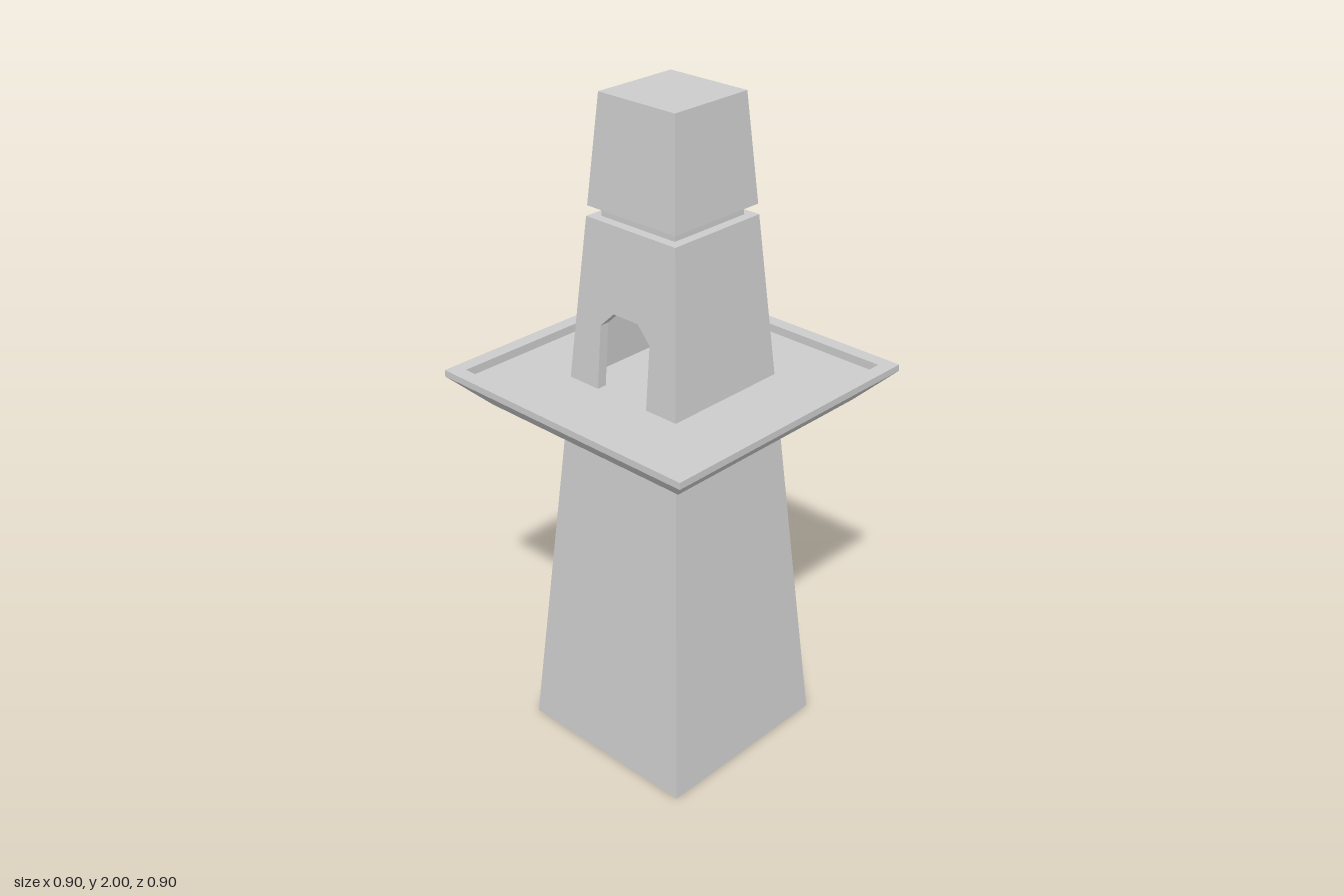
import * as THREE from 'three';

const material = new THREE.MeshStandardMaterial({ color: 0xcccccc, flatShading: true, side: THREE.DoubleSide });

// Half width of the tapering tower at height y
const halfAt = (y) => 0.3 - 0.082 * y;

const FLOOR = 1.18;
const DECK = 1.66;
const WALL = 0.03;

function addMesh(group, name, geometry) {
  const mesh = new THREE.Mesh(geometry, material);
  mesh.name = name;
  group.add(mesh);
}

// Square solid swept from [half width, height] points; sides are counted from the +x face round
function squareLathe(profile, sides = 4) {
  const points = profile.map(([half, y]) => new THREE.Vector2(half * Math.SQRT2, y));
  const lathe = new THREE.LatheGeometry(points, sides, Math.PI / 4, (sides * Math.PI) / 2);
  const geometry = lathe.toNonIndexed();
  geometry.computeVertexNormals();
  return geometry;
}

// Leaning front wall with a chamfered doorway, mitred at both corners
function frontWallGeometry() {
  const bottom = halfAt(FLOOR);
  const top = halfAt(DECK);
  const outline = [
    [-bottom, FLOOR], [-0.093, FLOOR], [-0.093, 1.368], [-0.045, 1.415],
    [0.045, 1.415], [0.093, 1.368], [0.093, FLOOR], [bottom, FLOOR],
    [top, DECK], [-top, DECK],
  ];
  const shape = new THREE.Shape(outline.map(([x, y]) => new THREE.Vector2(x, y)));
  const geometry = new THREE.ExtrudeGeometry(shape, { depth: WALL, bevelEnabled: false });
  const position = geometry.attributes.position;
  for (let i = 0; i < position.count; i++) {
    const x = position.getX(i);
    const y = position.getY(i);
    const z = position.getZ(i);
    if (Math.abs(x) > 0.12) position.setX(i, x - Math.sign(x) * (WALL - z));
    position.setZ(i, halfAt(y) - WALL + z);
  }
  geometry.computeVertexNormals();
  return geometry;
}

export function createModel() {
  const tower = new THREE.Group();
  tower.name = 'tower';

  // Tapering lower shaft
  addMesh(tower, 'lowerShaft', squareLathe([[0, 0], [halfAt(0), 0], [halfAt(1.14), 1.14], [0, 1.14]]));

  // Flared balcony with a raised rim
  addMesh(tower, 'balcony', squareLathe([
    [0, 1.095], [0.362, 1.095], [0.452, 1.185], [0.452, 1.205],
    [0.41, 1.205], [0.41, FLOOR], [0, FLOOR],
  ]));

  // Hollow room: three plain walls and a front wall with the doorway
  addMesh(tower, 'roomWalls', squareLathe([
    [halfAt(FLOOR), FLOOR], [halfAt(DECK), DECK],
    [halfAt(DECK) - WALL, DECK], [halfAt(FLOOR) - WALL, FLOOR],
  ], 3));
  addMesh(tower, 'doorwayWall', frontWallGeometry());

  // Recessed neck, which also closes the ceiling of the room
  addMesh(tower, 'neck', squareLathe([[0, 1.64], [0.135, 1.64], [0.135, 1.7], [0, 1.7]]));

  // Tapering cap block
  addMesh(tower, 'cap', squareLathe([[0, 1.69], [halfAt(1.69), 1.69], [halfAt(2), 2], [0, 2]]));

  return tower;
}
